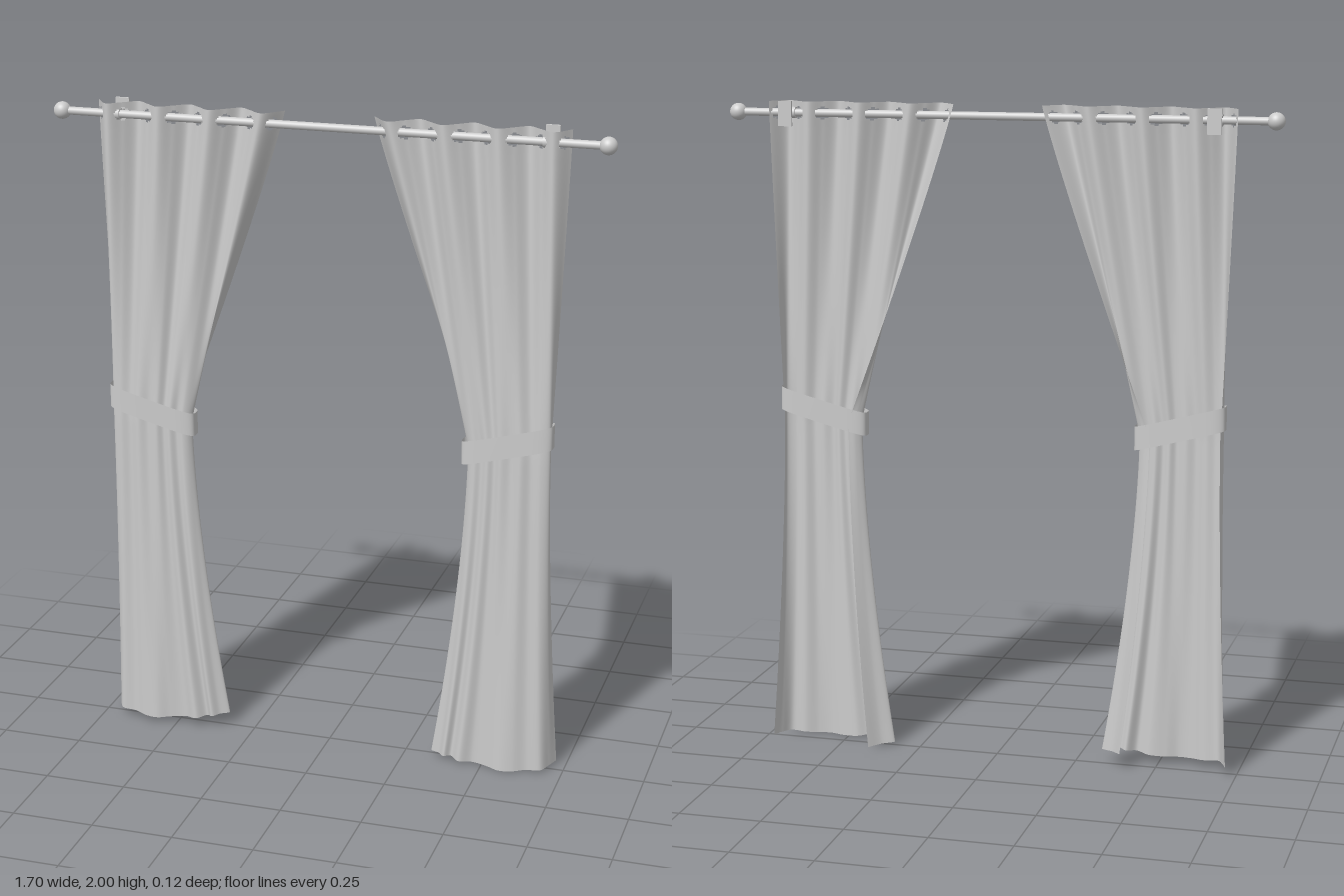
import * as THREE from 'three';

const COLS = 168, TOP = 2, TIE = 1.03, ROD_Y = 1.965, ROD_Z = 0.03;
const grey = new THREE.MeshStandardMaterial({ color: 0xcccccc });
const cloth = new THREE.MeshStandardMaterial({ color: 0xcccccc, side: THREE.DoubleSide });

function part(name, geometry, material = grey) {
  const mesh = new THREE.Mesh(geometry, material);
  mesh.name = name;
  return mesh;
}

// Sample a smooth [x, z] cross-section, running from the outer edge to the inner edge
function section(points) {
  const curve = new THREE.CatmullRomCurve3(points.map(([x, z]) => new THREE.Vector3(x, 0, z)));
  return curve.getPoints(COLS);
}

// Header: even waves that weave before and behind the rod
const header = [[0.715, 0.005]];
for (let i = 0; i <= 12; i++) header.push([0.67 - i * 0.04, ROD_Z + 0.03 * Math.cos(i * Math.PI / 2)]);
header.push([0.135, 0.003]);

const topSection = section(header);
const tieSection = section([
  [0.68, 0.004], [0.685, 0.035], [0.66, 0.047], [0.63, 0.042], [0.6, 0.054], [0.57, 0.046], [0.54, 0.054],
  [0.52, 0.044], [0.5, 0.05], [0.48, 0.04], [0.46, 0.044], [0.443, 0.035], [0.435, 0.018], [0.45, 0], [0.47, -0.008]]);
const hemSection = section([
  [0.72, -0.038], [0.705, 0], [0.685, 0.035], [0.64, 0.038], [0.6, 0.055], [0.56, 0.06], [0.52, 0.045],
  [0.47, 0.036], [0.43, 0.052], [0.4, 0.028], [0.38, 0.04], [0.36, 0.02], [0.332, 0.002], [0.37, -0.025], [0.4, -0.063]]);

// Cloth sheet blended between header, tie and hem, with eyelet holes where the rod passes
function curtainGeometry(side, hem, rise) {
  const levels = [];
  for (let i = 0; i < 16; i++) levels.push(TOP - i * 0.005);
  for (let i = 0; i <= 30; i++) levels.push(THREE.MathUtils.lerp(1.92, TIE, i / 30));
  for (let i = 1; i <= 34; i++) levels.push(TIE * (1 - i / 34));

  const pos = [], index = [], w = COLS + 1;
  for (const y of levels) {
    const upper = y >= TIE;
    const t = upper ? (TOP - y) / (TOP - TIE) : 1 - y / TIE;
    const a = upper ? topSection : tieSection, b = upper ? tieSection : hemSection;
    const tx = Math.pow(t, upper ? 1.08 : 1.6), tz = Math.pow(t, upper ? 1 : 1.2);
    for (let j = 0; j < w; j++) {
      const u = j / COLS;
      const lift = upper ? 0 : t * (hem + rise * u ** 4 + 0.006 * Math.cos(u * 9));
      pos.push(side * THREE.MathUtils.lerp(a[j].x, b[j].x, tx), y + lift,
        THREE.MathUtils.lerp(a[j].z, b[j].z, tz));
    }
  }
  for (let i = 0; i < levels.length - 1; i++) {
    for (let j = 0; j < COLS; j++) {
      const p = i * w + j, q = p + w;
      const y = (pos[p * 3 + 1] + pos[q * 3 + 1]) / 2;
      const z = (pos[p * 3 + 2] + pos[(p + 1) * 3 + 2]) / 2;
      if (Math.hypot(y - ROD_Y, z - ROD_Z) < 0.018) continue;
      index.push(p, q, p + 1, p + 1, q, q + 1);
    }
  }
  const g = new THREE.BufferGeometry();
  g.setAttribute('position', new THREE.Float32BufferAttribute(pos, 3));
  g.setIndex(index);
  g.computeVertexNormals();
  return g;
}

// Flat band looped round the gathered cloth, sloping down to the inner edge
function tieBandGeometry(side) {
  const g = new THREE.CylinderGeometry(1, 1, 0.072, 64, 1, true);
  const p = g.attributes.position;
  const round = v => Math.sign(v) * Math.sqrt(Math.abs(v));
  for (let i = 0; i < p.count; i++) {
    const x = round(p.getX(i));
    p.setXYZ(i, side * (0.556 + 0.137 * x), p.getY(i) + 1.056 + 0.036 * x, 0.026 + 0.036 * round(p.getZ(i)));
  }
  g.computeVertexNormals();
  return g;
}

// Wall plate, arm and collar carrying the rod
function bracket(side) {
  const group = new THREE.Group();
  group.name = 'bracket';
  const plate = part('wallPlate', new THREE.BoxGeometry(0.042, 0.075, 0.008));
  plate.position.z = -0.027;
  const arm = part('bracketArm', new THREE.CylinderGeometry(0.008, 0.008, 0.05, 16).rotateX(Math.PI / 2));
  const collar = part('rodCollar', new THREE.CylinderGeometry(0.017, 0.017, 0.03, 24).rotateZ(Math.PI / 2));
  collar.position.z = ROD_Z;
  group.add(plate, arm, collar);
  group.position.set(side * 0.652, ROD_Y, 0);
  return group;
}

export function createModel() {
  const model = new THREE.Group();
  model.name = 'curtains';

  const rod = part('rod', new THREE.CylinderGeometry(0.012, 0.012, 1.62, 24).rotateZ(Math.PI / 2));
  rod.position.set(0, ROD_Y, ROD_Z);
  model.add(rod);

  for (const side of [1, -1]) {
    const label = side > 0 ? 'left' : 'right';
    const finial = part(label + 'Finial', new THREE.SphereGeometry(0.026, 32, 20));
    finial.position.set(side * 0.822, ROD_Y, ROD_Z);
    const curtain = part(label + 'Curtain',
      side > 0 ? curtainGeometry(side, 0.008, 0.006) : curtainGeometry(side, 0.027, 0.035), cloth);
    const band = part(label + 'TieBand', tieBandGeometry(side), cloth);
    model.add(finial, curtain, band, bracket(side));
  }
  return model;
}
